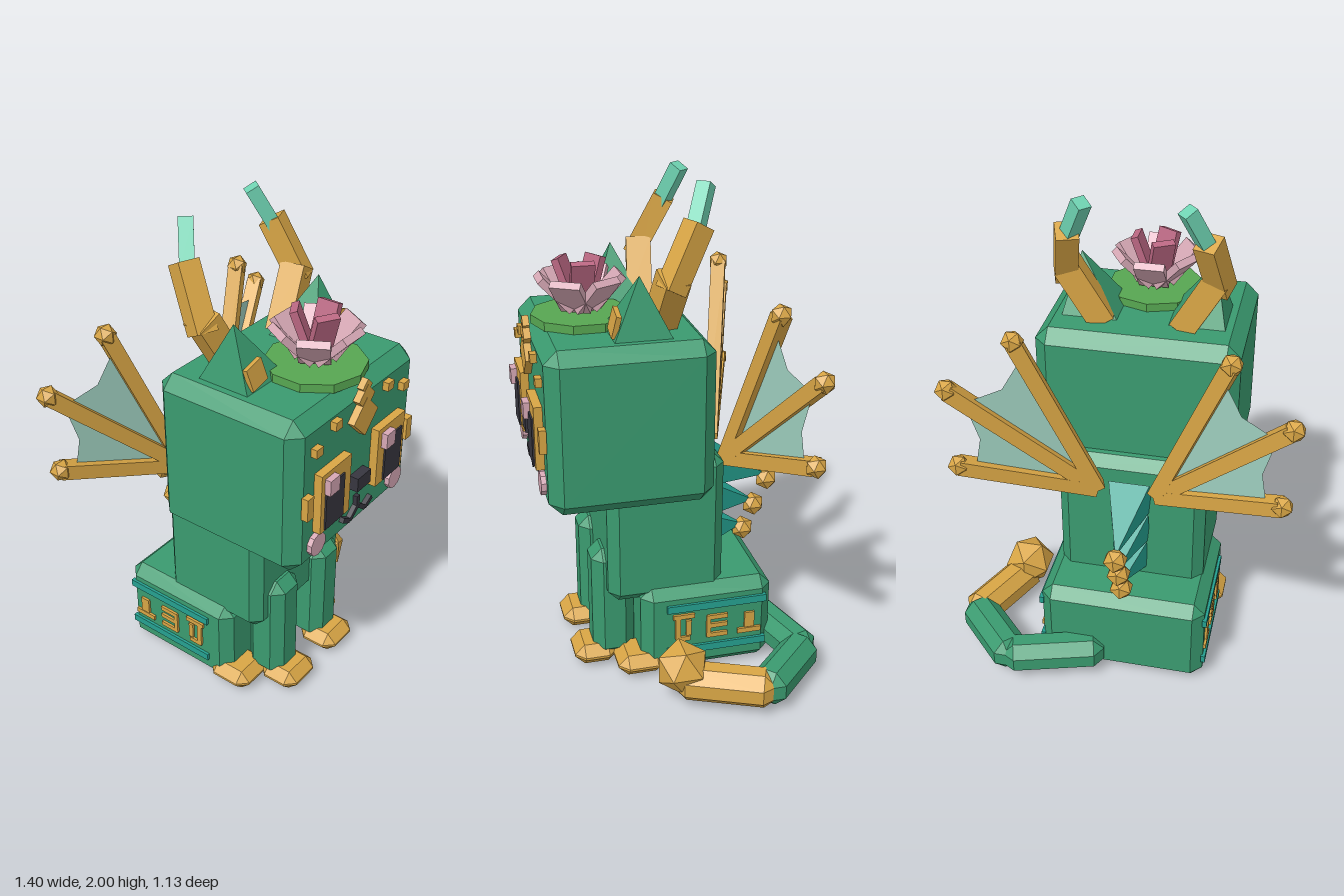
import * as THREE from 'three';
import { ConvexGeometry } from 'three/addons/geometries/ConvexGeometry.js';

const mat = (name, color) => Object.assign(new THREE.MeshStandardMaterial({ color }), { name });
const V = (x, y, z) => new THREE.Vector3(x, y, z);

export function createModel() {
  const green = mat('green', 0x3a9a6f), gold = mat('gold', 0xd8a545), mint = mat('mint', 0x6fd3b2);
  const teal = mat('teal', 0x25a090), black = mat('charcoal', 0x37363f), pink = mat('pink', 0xd6a8b5);
  const rose = mat('rose', 0xba6782), leaf = mat('leaf', 0x57a651), web = mat('membrane', 0x9dcdbd);
  web.side = THREE.DoubleSide;

  const root = new THREE.Group();
  root.name = 'dragonCat';
  const body = new THREE.Group();
  body.name = 'figure';
  body.position.x = -0.03;
  root.add(body);

  const add = (name, geo, material, x = 0, y = 0, z = 0, parent = body) => {
    const m = new THREE.Mesh(geo, material);
    m.name = name;
    m.position.set(x, y, z);
    parent.add(m);
    return m;
  };
  const flat = (g) => {
    const f = g.index ? g.toNonIndexed() : g;
    f.computeVertexNormals();
    return f;
  };
  const box = (w, h, d) => new THREE.BoxGeometry(w, h, d);
  const ball = (r) => new THREE.IcosahedronGeometry(r, 0);
  // box with every edge cut at 45 degrees
  const chamfer = (w, h, d, c) => {
    const pts = [];
    for (const i of [-1, 1]) for (const j of [-1, 1]) for (const k of [-1, 1]) {
      pts.push(V(i * w / 2, j * (h / 2 - c), k * (d / 2 - c)),
        V(i * (w / 2 - c), j * h / 2, k * (d / 2 - c)),
        V(i * (w / 2 - c), j * (h / 2 - c), k * d / 2));
    }
    return new ConvexGeometry(pts);
  };
  // bar running from a to b, chamfered when c > 0
  const beam = (name, a, b, w, h, material, c = 0, parent = body) => {
    const len = a.distanceTo(b);
    const m = new THREE.Mesh(c ? chamfer(w, h, len, c) : box(w, h, len), material);
    m.name = name;
    m.position.copy(a).lerp(b, 0.5);
    m.lookAt(b);
    parent.add(m);
    return m;
  };

  // head, torso and seated hindquarters
  add('head', chamfer(0.8, 0.657, 0.645, 0.052), green, 0, 1.128, 0.184);
  add('torso', chamfer(0.605, 0.615, 0.475, 0.042), green, 0, 0.643, 0.033);
  add('hindquarters', chamfer(0.685, 0.39, 0.55, 0.045), green, 0, 0.2, -0.13);

  // centre of the face
  const face = 0.505;
  add('nose', box(0.09, 0.06, 0.04), black, 0, 1.05, face + 0.02);
  add('mouthStem', box(0.02, 0.06, 0.02), black, 0, 0.94, face + 0.01);
  [[1.33, 0.115], [1.41, 0.075], [1.455, 0.045]].forEach(([y, s], i) => {
    add('foreheadDiamond', box(s, s, 0.03 - i * 0.002), gold, 0, y, face + 0.015).rotation.z = Math.PI / 4;
  });
  // highlights and pupils
  for (const s of [-1, 1]) {
    add('pupil', box(0.118, 0.19, 0.008), black, s * 0.2, 1.07, face + 0.038);
    add('eyeHighlight', box(0.06, 0.065, 0.03), pink, s * 0.19 - 0.043, 1.167, face + 0.045);
  }

  for (const s of [-1, 1]) {
    // face details
    add('eyeFrame', box(0.19, 0.255, 0.035), gold, s * 0.188, 1.093, face + 0.0175);
    add('eyeTab', box(0.038, 0.095, 0.028), gold, s * 0.338, 1.11, face + 0.014);
    add('foreheadDot', box(0.04, 0.035, 0.03), gold, s * 0.29, 1.325, face + 0.012);
    add('foreheadDot', box(0.04, 0.035, 0.03), gold, s * 0.173, 1.378, face + 0.012);
    add('cheek', flat(new THREE.CylinderGeometry(0.048, 0.048, 0.024, 10)), pink,
      s * 0.27, 0.907, face + 0.01).rotation.x = Math.PI / 2;
    const z = face + 0.01;
    beam('mouthCurve', V(s * 0.006, 0.922, z), V(s * 0.052, 0.885, z), 0.022, 0.02, black);
    beam('mouthCurve', V(s * 0.055, 0.885, z), V(s * 0.1, 0.91, z), 0.022, 0.02, black);

    // leaning pyramid ears with a small plate in front
    add('ear', new ConvexGeometry([V(s * 0.09, 1.44, 0.01), V(s * 0.325, 1.44, 0.01),
      V(s * 0.09, 1.44, 0.245), V(s * 0.325, 1.44, 0.245), V(s * 0.262, 1.685, 0.132)]), green);
    const plate = add('innerEar', box(0.09, 0.09, 0.02), gold, s * 0.258, 1.515, 0.225);
    plate.rotation.set(-0.2, 0, -s * 0.2);

    // three-piece horns
    beam('hornBase', V(s * 0.16, 1.45, 0.035), V(s * 0.29, 1.68, 0.01), 0.1, 0.1, gold);
    beam('hornMiddle', V(s * 0.3, 1.63, 0.025), V(s * 0.258, 1.86, -0.09), 0.085, 0.085, gold);
    beam('hornTip', V(s * 0.258, 1.83, -0.075), V(s * 0.188, 1.99, -0.135), 0.055, 0.055, mint);

    // legs and feet
    add('frontLeg', chamfer(0.17, 0.5, 0.175, 0.043), green, s * 0.145, 0.29, 0.237);
    add('frontFoot', chamfer(0.2, 0.09, 0.18, 0.04), gold, s * 0.145, 0.055, 0.315);
    add('hindFoot', chamfer(0.2, 0.09, 0.2, 0.04), gold, s * 0.265, 0.055, 0.145);

    // hip bands and carved marks
    const hip = s * 0.345;
    for (const y of [0.31, 0.11]) add('hipBand', box(0.018, 0.032, 0.42), teal, hip, y, -0.165);
    const marks = [
      [0.27, -0.025, 0.02, 0.09], [0.215, 0.0, 0.1, 0.022], [0.215, -0.045, 0.07, 0.022], [0.165, -0.022, 0.02, 0.06],
      [0.25, -0.168, 0.02, 0.085], [0.21, -0.168, 0.02, 0.085], [0.165, -0.168, 0.02, 0.085], [0.207, -0.13, 0.1, 0.018],
      [0.215, -0.305, 0.07, 0.042], [0.165, -0.305, 0.022, 0.1],
    ];
    for (const [y, z2, h, d] of marks) add('hipMark', box(0.016, h, d), gold, hip, y, z2);

    // wings: three bones with knobs and scalloped membranes
    const base = V(s * 0.12, 0.86, -0.265);
    const tips = [V(s * 0.395, 1.54, -0.368), V(s * 0.632, 1.357, -0.452), V(s * 0.615, 1.02, -0.447)];
    const along = (p, t) => base.clone().lerp(p, t);
    tips.forEach((t) => {
      beam('wingBone', base, t, 0.06, 0.06, gold);
      add('wingKnob', ball(0.044), gold, t.x, t.y, t.z);
    });
    for (const i of [0, 1]) {
      const mid = tips[i].clone().lerp(tips[i + 1], 0.5);
      const pts = [base, along(tips[i], 0.9), along(mid, 0.82), along(tips[i + 1], 0.88)];
      const g = new THREE.BufferGeometry().setFromPoints([0, 1, 2, 0, 2, 3].map((k) => pts[k]));
      g.computeVertexNormals();
      add('wingMembrane', g, web);
    }
  }

  // back spines, each ending in a knob
  [[0.79, 0.68, -0.48, 0.117], [0.64, 0.563, -0.425, 0.11], [0.495, 0.452, -0.38, 0.1]].forEach(([y0, y1, z1, r]) => {
    const a = V(0, y0, -0.205), b = V(0, y1 + 0.02, z1);
    const g = new THREE.ConeGeometry(r, a.distanceTo(b), 4);
    g.rotateY(Math.PI / 4).rotateX(Math.PI / 2);
    const spine = add('backSpine', flat(g), teal);
    body.remove(spine);
    spine.position.copy(a).lerp(b, 0.5);
    spine.lookAt(b);
    body.add(spine);
    add('spineKnob', ball(0.05), gold, 0, y1, z1);
  });

  // flower on a leaf pad
  const flower = new THREE.Group();
  flower.name = 'flower';
  flower.position.set(0.002, 1.455, 0.305);
  body.add(flower);
  add('leafPad', flat(new THREE.CylinderGeometry(0.195, 0.195, 0.035, 10)), leaf, 0, 0.017, 0, flower);
  const petals = (name, n, material, w, h, r, y, tilt, turn) => {
    for (let i = 0; i < n; i++) {
      const pivot = new THREE.Group();
      pivot.name = name + 'Pivot';
      pivot.rotation.y = turn + i * Math.PI * 2 / n;
      flower.add(pivot);
      add(name, box(w, h, 0.03), material, 0, y, r, pivot).rotation.x = tilt;
    }
  };
  petals('outerPetal', 6, pink, 0.12, 0.17, 0.1, 0.115, 0.75, 0);
  petals('innerPetal', 3, rose, 0.09, 0.16, 0.055, 0.165, 0.35, Math.PI / 2);
  add('flowerHeart', flat(new THREE.ConeGeometry(0.04, 0.16, 5)), gold, 0, 0.13, 0, flower);

  // curled tail with a round tuft
  const path = [V(0.08, 0.103, -0.4), V(0.42, 0.103, -0.5), V(0.635, 0.103, -0.28), V(0.505, 0.103, 0.02)];
  for (let i = 0; i < 3; i++) {
    const dir = path[i + 1].clone().sub(path[i]).normalize().multiplyScalar(0.035);
    beam(i < 2 ? 'tailSegment' : 'tailTip', path[i].clone().sub(dir), path[i + 1].clone().add(dir),
      0.15, 0.148, i < 2 ? green : gold, 0.045, root);
  }
  add('tailTuft', ball(0.112), gold, 0.493, 0.157, 0.03, root);

  return root;
}
